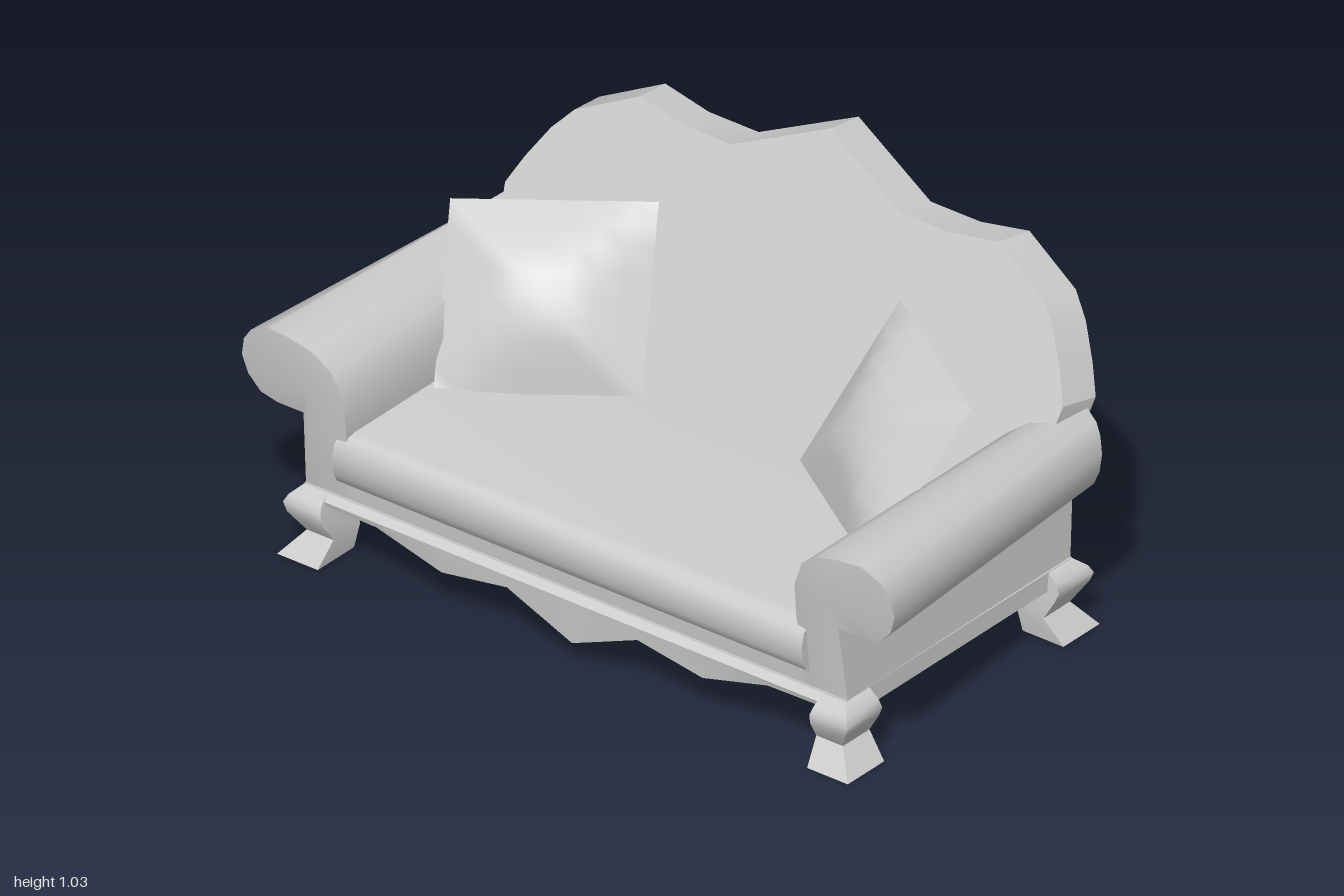
import * as THREE from 'three';
import { toCreasedNormals } from 'three/addons/utils/BufferGeometryUtils.js';

const material = new THREE.MeshStandardMaterial({ color: 0xcccccc });

// Closed solid through equal-length rings of [x, y, z]; the ends are fans around capA and capB.
function loft(name, rings, crease = 0.7, capA, capB) {
  const n = rings[0].length, tris = [];
  const mean = r => [0, 1, 2].map(k => r.reduce((s, p) => s + p[k], 0) / n);
  const last = rings[rings.length - 1];
  const a = capA || mean(rings[0]), b = capB || mean(last);
  for (let j = 0; j < n; j++) {
    const k = (j + 1) % n;
    tris.push([a, rings[0][k], rings[0][j]], [b, last[j], last[k]]);
    for (let i = 0; i + 1 < rings.length; i++) {
      const [p, q] = [rings[i], rings[i + 1]];
      tris.push([p[j], p[k], q[k]], [p[j], q[k], q[j]]);
    }
  }
  // Signed volume tells whether the faces point outward
  const vec = p => new THREE.Vector3(...p);
  const volume = tris.reduce((s, t) => s + vec(t[0]).dot(vec(t[1]).cross(vec(t[2]))), 0);
  if (volume < 0) tris.forEach(t => t.reverse());
  const g = new THREE.BufferGeometry();
  g.setAttribute('position', new THREE.Float32BufferAttribute(tris.flat(2), 3));
  const mesh = new THREE.Mesh(toCreasedNormals(g, crease), material);
  mesh.name = name;
  return mesh;
}

function box(name, x0, x1, y0, y1, z0, z1) {
  const mesh = new THREE.Mesh(new THREE.BoxGeometry(x1 - x0, y1 - y0, z1 - z0), material);
  mesh.position.set((x0 + x1) / 2, (y0 + y1) / 2, (z0 + z1) / 2);
  mesh.name = name;
  return mesh;
}

// Leaning backrest with a scalloped crest
function makeBackrest() {
  const half = [[0, 1.03], [0.26, 0.915], [0.41, 0.915], [0.55, 0.937], [0.72, 0.855],
    [0.77, 0.80], [0.82, 0.72], [0.855, 0.65], [0.845, 0.58], [0.81, 0.42], [0.80, 0.20]];
  const frontZ = y => -0.155 - (y - 0.375) * 0.467;
  const front = half.map(([x, y]) => [x, y, frontZ(y)]);
  const rear = half.map(([x, y]) => y > 0.5 ? [x * 1.015, y - 0.018, frontZ(y) - 0.11]
    : [0.82, y > 0.3 ? y : 0.19, y > 0.3 ? -0.36 : -0.35]);
  const both = h => [...h, ...h.slice(1).reverse().map(([x, y, z]) => [-x, y, z])];
  return loft('backrest', [both(front), both(rear)], 0.5, [0, 0.375, -0.155], [0, 0.19, -0.35]);
}

// Rolled arm, narrowing toward the rear
function makeArm(side) {
  const outline = [[0.70, 0.19], [0.70, 0.26], [0.69, 0.38], [0.692, 0.48], [0.72, 0.55],
    [0.775, 0.59], [0.84, 0.605], [0.91, 0.612], [0.965, 0.585], [0.99, 0.55], [1.0, 0.50],
    [0.985, 0.45], [0.95, 0.41], [0.90, 0.398], [0.82, 0.398], [0.83, 0.19]];
  const ring = t => outline.map(([x, y]) => {
    const zf = 0.515 + 0.107 * (y - 0.19), zb = -0.35 - (y > 0.3 ? 0.015 : 0);
    const taper = 0.09 * t * Math.max(0, (x - 0.82) / 0.18);
    return [side * (x - taper), y, zf + (zb - zf) * t];
  });
  return loft('arm', [ring(0), ring(1)], 0.8, [side * 0.79, 0.49, 0.56], [side * 0.79, 0.49, -0.37]);
}

// Curved leg: outer edges sweep out at the knee and foot
function makeLeg(side, end) {
  const levels = [ // y, inner x, outer x, inner z, outer z
    [0.19, 0.76, 0.83, 0.345, 0.435], [0.165, 0.755, 0.855, 0.342, 0.465],
    [0.145, 0.75, 0.865, 0.34, 0.475], [0.12, 0.748, 0.855, 0.337, 0.472],
    [0.065, 0.74, 0.822, 0.335, 0.437], [0, 0.75, 0.875, 0.345, 0.485]];
  const rings = levels.map(([y, xi, xo, zi, zo]) =>
    [[xi, zi], [xo, zi], [xo, zo], [xi, zo]].map(([x, z]) => [side * x, y, 0.085 + end * z]));
  return loft('leg', rings, 0.9);
}

// Scalloped apron hanging between two legs
function makeApron(end) {
  const half = [[0, 0.055], [0.2, 0.137], [0.4, 0.105], [0.6, 0.157], [0.78, 0.16]];
  const drops = [...half.slice(1).reverse().map(([x, y]) => [-x, y]), ...half];
  const rings = drops.map(([x, low]) => [[0.19, 0.435], [0.172, 0.452], [low, 0.448], [0.175, 0.395]]
    .map(([y, z]) => [x, y, 0.085 + end * z]));
  return loft(end > 0 ? 'frontApron' : 'rearApron', rings, 0.5);
}

// Seat with a rounded front edge
function makeSeat() {
  const profile = [[-0.3, 0.19], [-0.3, 0.375], [0.50, 0.375], [0.525, 0.37], [0.545, 0.35],
    [0.553, 0.31], [0.547, 0.27], [0.535, 0.245], [0.518, 0.232], [0.515, 0.19]];
  return loft('seat', [-0.72, 0.72].map(x => profile.map(([z, y]) => [x, y, z])), 0.6);
}

// Square cushion placed by its centre and two half-edges, bulging on both faces
function makePillow(side) {
  const centre = new THREE.Vector3(0.52, 0.572, -0.02);
  const across = new THREE.Vector3(0.214, -0.012, 0.133);
  const up = new THREE.Vector3(0.064, 0.195, -0.113);
  const normal = across.clone().cross(up).normalize();
  const pillow = new THREE.Group();
  pillow.name = 'pillow';
  for (const face of [1, -1]) {
    const g = new THREE.PlaneGeometry(2, 2, 8, 8);
    const pos = g.attributes.position, p = new THREE.Vector3();
    for (let i = 0; i < pos.count; i++) {
      const u = pos.getX(i), v = pos.getY(i);
      const puff = 0.085 * Math.min(1, 1.45 * (1 - Math.max(Math.abs(u), Math.abs(v)))) ;
      p.copy(centre).addScaledVector(across, u).addScaledVector(up, v).addScaledVector(normal, face * puff);
      pos.setXYZ(i, side * p.x, p.y, p.z);
    }
    // Reverse the corner order on whichever faces would point inward
    if (face * side < 0) g.setIndex([...g.index.array].reverse());
    g.computeVertexNormals();
    const mesh = new THREE.Mesh(g, material);
    mesh.name = face > 0 ? 'pillowFront' : 'pillowRear';
    pillow.add(mesh);
  }
  return pillow;
}

export function createModel() {
  const sofa = new THREE.Group();
  sofa.name = 'sofa';
  sofa.add(makeBackrest(), makeSeat());
  sofa.add(box('basePanel', -0.83, 0.83, 0.172, 0.192, -0.35, 0.52));
  for (const end of [1, -1]) sofa.add(makeApron(end));
  for (const side of [1, -1]) {
    const x = side * 0.805;
    sofa.add(box('sideRail', x - 0.025, x + 0.025, 0.14, 0.19, -0.33, 0.50));
    sofa.add(makeArm(side), makePillow(side), makeLeg(side, 1), makeLeg(side, -1));
  }
  return sofa;
}
